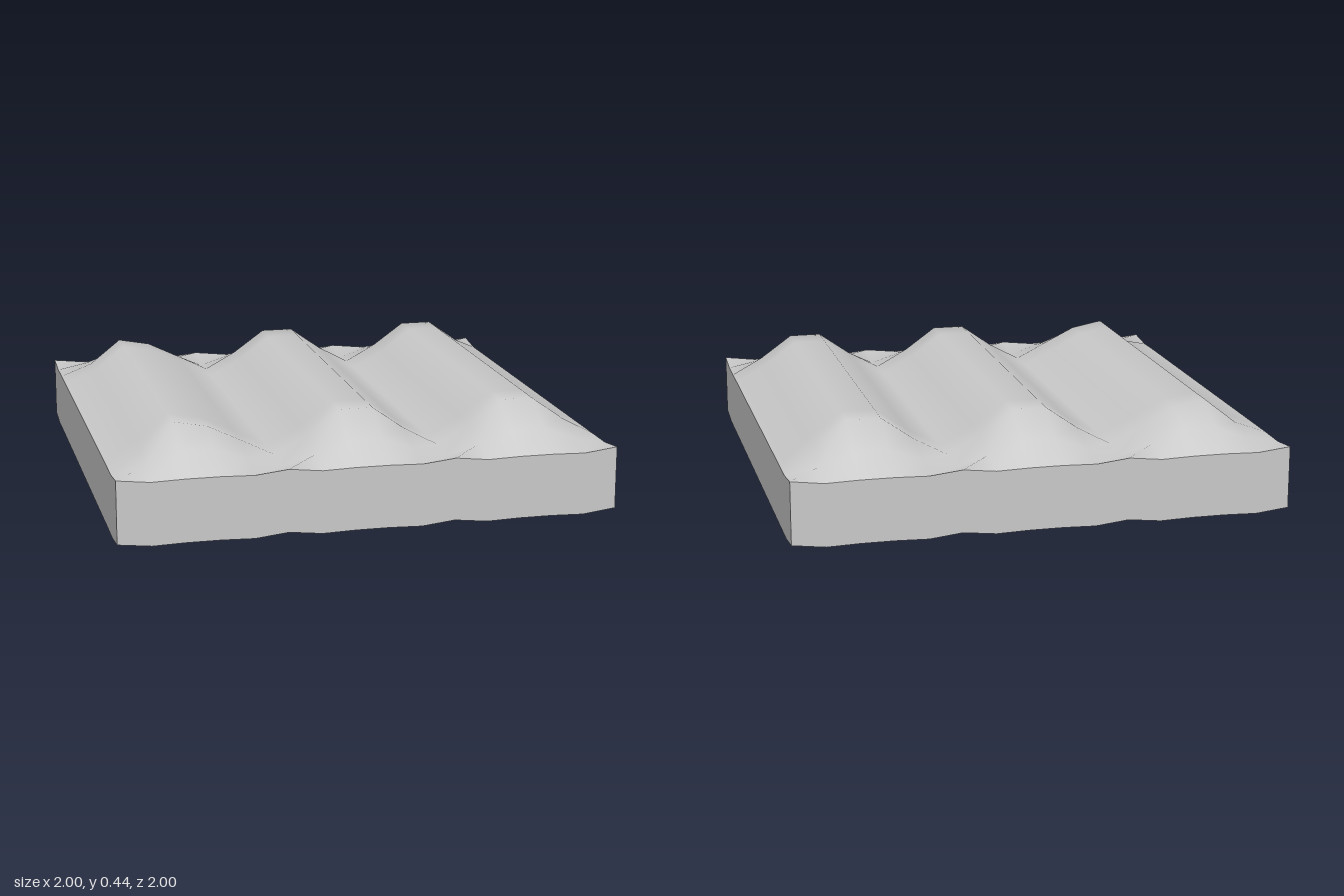
import * as THREE from 'three';

const N = 15;            // grid cells per side
const THICK = 0.253;     // the underside repeats the top this much lower

// Cross-sections along x: end rim, next row in, and the long middle
const RIM = [0.283, 0.268, 0.272, 0.272, 0.268, 0.285];
const SHOULDER = [0.253, 0.295, 0.345, 0.345, 0.295, 0.253];
const MIDDLE = [0.268, 0.34, 0.435, 0.435, 0.34, 0.268];
const FIRST = [0.27, 0.32, 0.425, 0.4, 0.335, 0.268]; // slightly lopsided first ridge

// Height of the top at grid point (i, j); each ridge is five cells wide
function height(i, j) {
  const end = Math.min(j, N - j);
  const k = i === N ? 5 : i % 5;
  if (end === 0) return RIM[k];
  if (end === 1) return i === 0 || i === N ? 0.268 : SHOULDER[k];
  return i < 5 ? FIRST[k] : MIDDLE[k];
}

const toIndex = (v) => Math.round(((v + 1) / 2) * N);

function createSheet(name, drop, flip) {
  const geo = new THREE.PlaneGeometry(2, 2, N, N);
  geo.rotateX(-Math.PI / 2);
  const p = geo.attributes.position;
  for (let n = 0; n < p.count; n++) {
    p.setY(n, height(toIndex(p.getX(n)), toIndex(p.getZ(n))) - drop);
  }
  if (flip) {
    const idx = geo.index;
    for (let n = 0; n < idx.count; n += 3) {
      const a = idx.getX(n);
      idx.setX(n, idx.getX(n + 1));
      idx.setX(n + 1, a);
    }
  }
  geo.computeVertexNormals();
  return geo;
}

// Vertical wall that follows the rim above and below
function createWall(angle) {
  const geo = new THREE.PlaneGeometry(2, 1, N, 1);
  geo.translate(0, 0, 1);
  geo.rotateY(angle);
  const p = geo.attributes.position;
  for (let n = 0; n < p.count; n++) {
    const top = height(toIndex(p.getX(n)), toIndex(p.getZ(n)));
    p.setY(n, p.getY(n) > 0 ? top : top - THICK);
  }
  geo.computeVertexNormals();
  return geo;
}

export function createModel() {
  const group = new THREE.Group();
  group.name = 'ridgedPad';
  const material = new THREE.MeshStandardMaterial({ color: 0xcccccc });
  const add = (name, geo) => {
    const mesh = new THREE.Mesh(geo, material);
    mesh.name = name;
    group.add(mesh);
  };

  // Ridged top and matching hollow underside
  add('ridgedTop', createSheet('top', 0, false));
  add('hollowUnderside', createSheet('underside', THICK, true));

  // Four side walls
  ['frontWall', 'leftWall', 'backWall', 'rightWall'].forEach((name, n) => {
    add(name, createWall((n * Math.PI) / 2));
  });
  return group;
}
